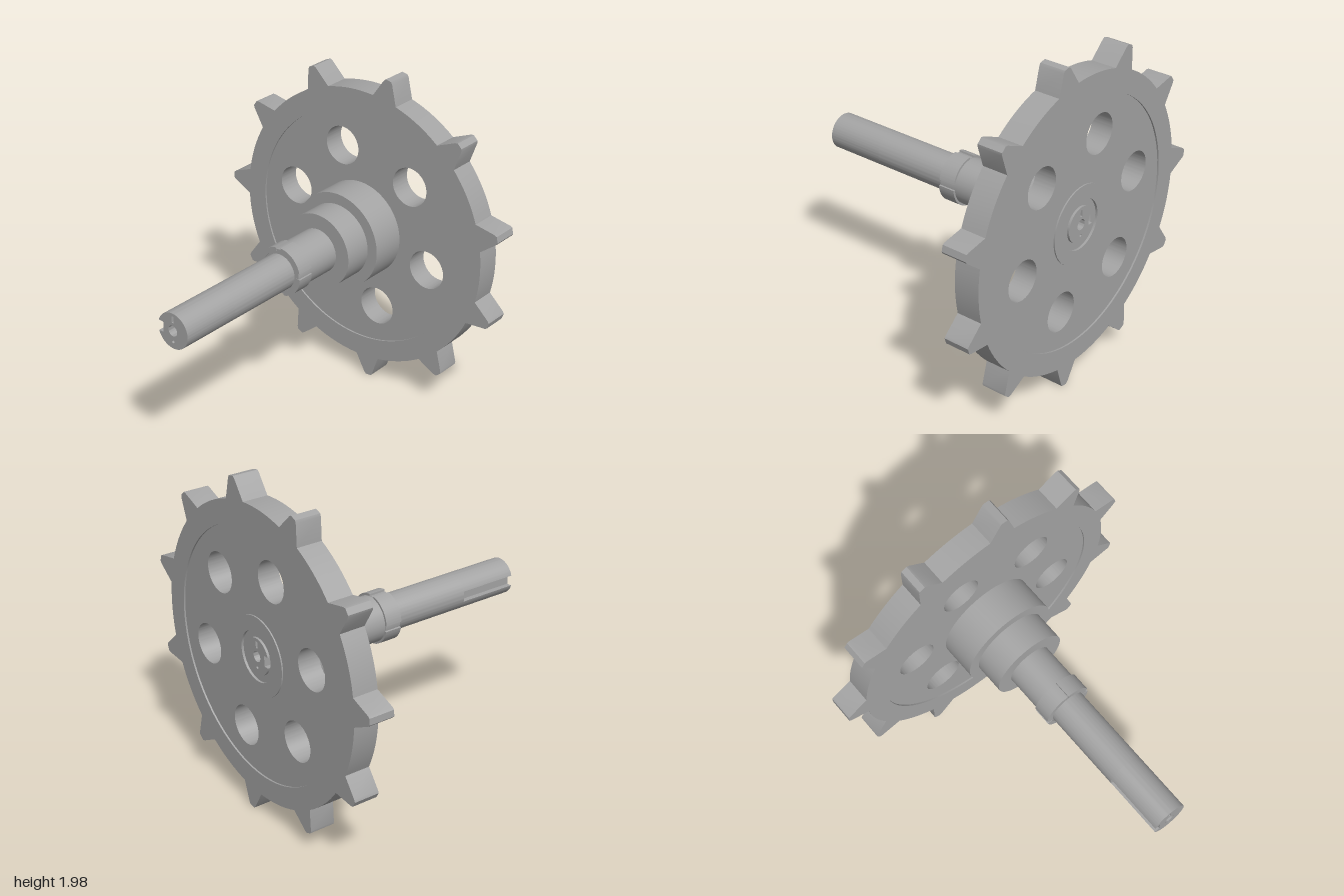
import * as THREE from 'three';
import { toCreasedNormals } from 'three/addons/utils/BufferGeometryUtils.js';

const TAU = Math.PI * 2;
const rad = THREE.MathUtils.degToRad;

export function createModel() {
  const group = new THREE.Group();
  const steel = new THREE.MeshStandardMaterial({ color: 0xa3a3a3 });
  steel.name = 'grey steel';

  // Everything shares one axis along z, placed at (0.008, 1.003).
  const axle = new THREE.Group();
  axle.name = 'sprocketAssembly';
  axle.position.set(0.008, 1.003, 0);
  group.add(axle);

  const add = (name, geometry) => {
    const mesh = new THREE.Mesh(geometry, steel);
    mesh.name = name;
    axle.add(mesh);
    return mesh;
  };
  const extrude = (name, shape, z0, z1, curveSegments = 48) => {
    const g = new THREE.ExtrudeGeometry(shape, { depth: z1 - z0, bevelEnabled: false, curveSegments });
    g.translate(0, 0, z0);
    return add(name, toCreasedNormals(g, rad(30)));
  };
  const circle = (r, x = 0, y = 0) => new THREE.Path().absarc(x, y, r, 0, TAU, true);
  const disc = (r) => new THREE.Shape().absarc(0, 0, r, 0, TAU, false);
  const ring = (outer, inner) => {
    const s = disc(outer);
    s.holes.push(circle(inner));
    return s;
  };

  // Toothed rim: eleven tapered teeth on a round body
  const TEETH = 11, BODY = 0.872, TIP = 1.0;
  const rimShape = new THREE.Shape();
  const halfBase = 0.083 / BODY, halfTip = 0.027 / TIP;
  for (let i = 0; i < TEETH; i++) {
    const a = rad(79.6) + (i * TAU) / TEETH;
    const points = [[BODY, -halfBase], [TIP - 0.012, -halfTip - 0.003], [TIP, -halfTip + 0.008],
      [TIP, halfTip - 0.008], [TIP - 0.012, halfTip + 0.003], [BODY, halfBase]];
    points.forEach(([r, d], k) => {
      const x = r * Math.cos(a + d), y = r * Math.sin(a + d);
      if (i === 0 && k === 0) rimShape.moveTo(x, y);
      else rimShape.lineTo(x, y);
    });
    const gapEnd = a + TAU / TEETH - halfBase;
    for (let k = 1; k < 8; k++) {
      const t = a + halfBase + ((gapEnd - a - halfBase) * k) / 8;
      rimShape.lineTo(BODY * Math.cos(t), BODY * Math.sin(t));
    }
  }
  rimShape.holes.push(circle(0.74));
  extrude('toothedRim', rimShape, -0.874, -0.72);

  // Web plate, slightly recessed, with six lightening holes
  const web = ring(0.745, 0.2);
  for (let i = 0; i < 6; i++) {
    const a = rad(-13.4 + i * 60);
    web.holes.push(circle(0.119, 0.51 * Math.cos(a), 0.51 * Math.sin(a)));
  }
  extrude('webPlate', web, -0.864, -0.73);

  // Stepped hub with a flush boss and shallow groove on the back
  const hubProfile = [[0.108, -0.858], [0.15, -0.858], [0.15, -0.872], [0.235, -0.872], [0.235, -0.8],
    [0.295, -0.8], [0.295, -0.513], [0.228, -0.513], [0.228, -0.335], [0.1, -0.335]];
  const lathe = (name, profile, start = 0, length = TAU, segments = 64) => {
    const g = new THREE.LatheGeometry(profile.map(([r, z]) => new THREE.Vector2(r, z)), segments, start, length);
    g.rotateX(Math.PI / 2);
    return add(name, toCreasedNormals(g.toNonIndexed(), rad(30)));
  };
  lathe('steppedHub', hubProfile);

  // Sleeve and notched collar
  lathe('sleeve', [[0.1, -0.335], [0.136, -0.335], [0.136, -0.1], [0.138, -0.1], [0.138, 0], [0.1, 0]]);
  for (let i = 0; i < 4; i++) {
    const s = new THREE.Shape();
    const a = rad(12 + i * 90), b = a + rad(76);
    s.absarc(0, 0, 0.149, a, b, false);
    s.absarc(0, 0, 0.12, b, a, true);
    extrude('collarSegment', s, -0.104, 0.002, 16);
  }

  // Shaft: plain middle, with a keyway and drilled ends
  const R = 0.108;
  const keyedShape = () => {
    const h = 0.032, a = Math.asin(h / R);
    const s = new THREE.Shape();
    s.absarc(0, 0, R, -Math.PI + a, Math.PI - a, false);
    s.lineTo(-0.07, h);
    s.lineTo(-0.07, -h);
    s.closePath();
    s.holes.push(circle(0.032), circle(0.009, 0, -0.066));
    const slit = new THREE.Path();
    slit.moveTo(-0.008, 0.05);
    slit.lineTo(-0.008, 0.09);
    slit.lineTo(0.008, 0.09);
    slit.lineTo(0.008, 0.05);
    slit.closePath();
    s.holes.push(slit);
    return s;
  };
  extrude('shaftMiddle', disc(R), -0.8, 0.5);
  extrude('shaftFrontEnd', keyedShape(), 0.5, 0.87);
  extrude('shaftBackEnd', keyedShape(), -0.872, -0.8);

  return group;
}
